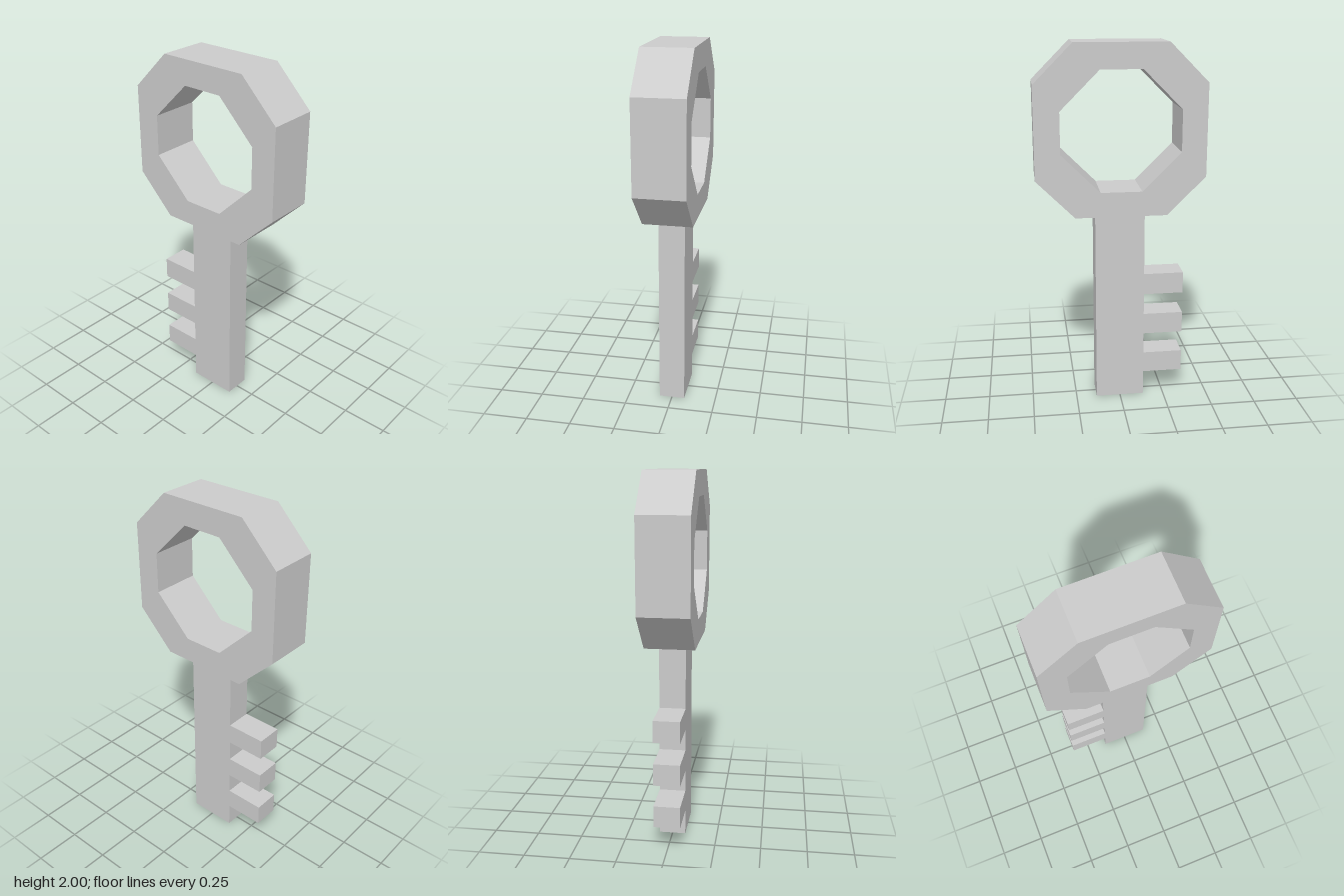
import * as THREE from 'three';

const material = new THREE.MeshStandardMaterial({ color: 0xcccccc, flatShading: true });

// Octagon corners: r = half width, f = half length of the upright and level sides
function octagon(r, f) {
  return [[r, -f], [r, f], [f, r], [-f, r], [-r, f], [-r, -f], [-f, -r], [f, -r]]
    .map(([x, y]) => new THREE.Vector2(x, y));
}

// Extrudes a shape to the given depth, centred on z = 0
function slab(name, shape, depth) {
  const geometry = new THREE.ExtrudeGeometry(shape, { depth, bevelEnabled: false });
  geometry.translate(0, 0, -depth / 2);
  const mesh = new THREE.Mesh(geometry, material);
  mesh.name = name;
  return mesh;
}

export function createModel() {
  const model = new THREE.Group();
  model.name = 'key';

  // Octagonal ring handle
  const ring = new THREE.Shape(octagon(0.452, 0.246));
  ring.holes.push(new THREE.Path(octagon(0.318, 0.111)));
  const bow = slab('bow', ring, 0.27);
  bow.position.y = 1.548;
  model.add(bow);

  // Shaft with three flush teeth on one side, traced as a single outline
  const half = 0.135, tip = -0.355, top = 1.096;
  const outline = new THREE.Shape().moveTo(-half, 0).lineTo(half, 0).lineTo(half, top).lineTo(-half, top);
  for (const y of [0.68, 0.44, 0.2]) {
    outline.lineTo(-half, y + 0.06).lineTo(tip, y + 0.06).lineTo(tip, y - 0.06).lineTo(-half, y - 0.06);
  }
  outline.closePath();
  model.add(slab('toothedShaft', outline, 0.144));

  return model;
}
